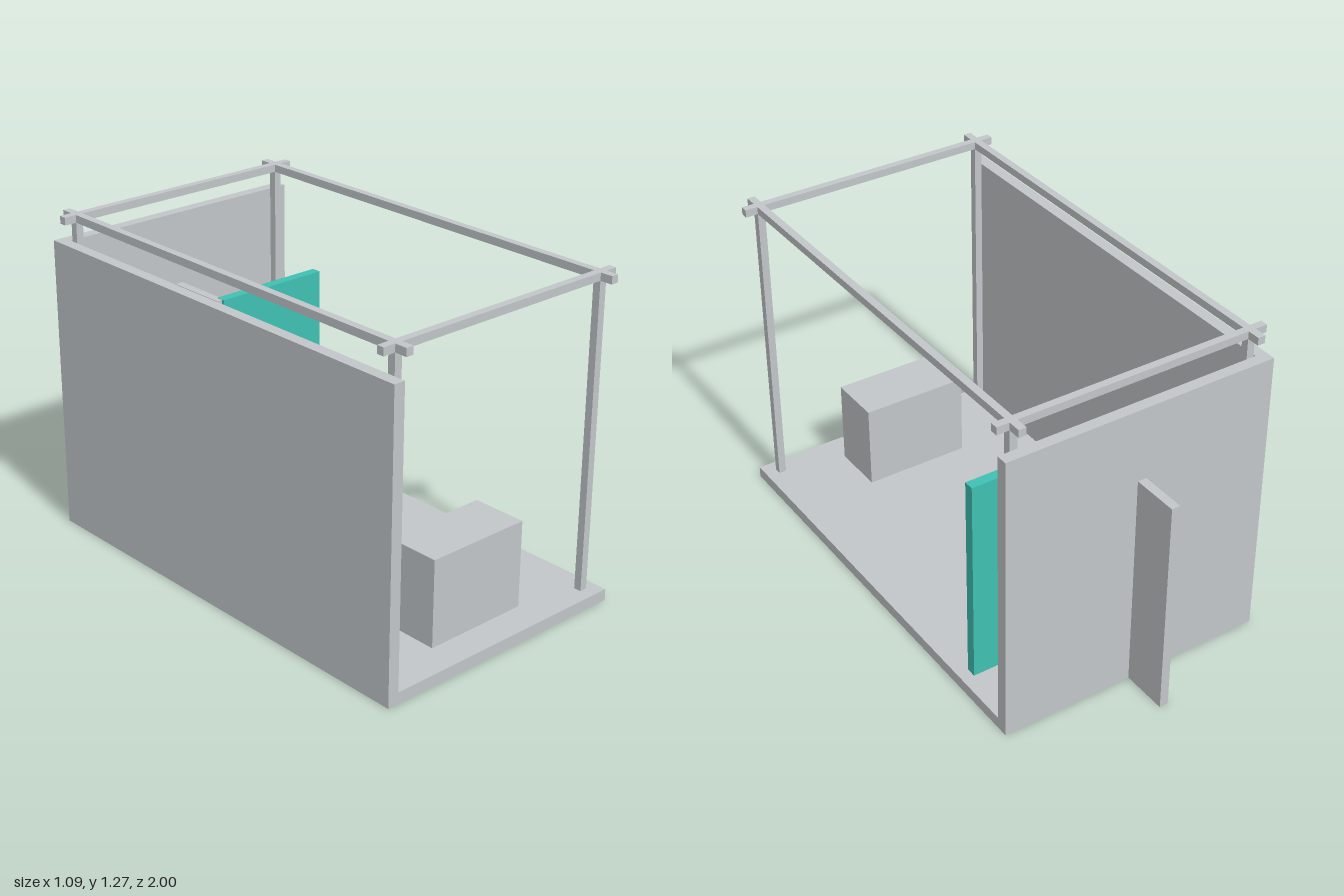
import * as THREE from 'three';

export function createModel() {
  const model = new THREE.Group();
  model.name = 'exhibitionBooth';

  const grey = new THREE.MeshStandardMaterial({ color: 0xc2c6c9 });
  grey.name = 'lightGrey';
  const teal = new THREE.MeshStandardMaterial({ color: 0x40c1b3 });
  teal.name = 'teal';

  // Box given by its extents on each axis
  function block(name, [x0, x1], [y0, y1], [z0, z1], material = grey, parent = model) {
    const mesh = new THREE.Mesh(new THREE.BoxGeometry(x1 - x0, y1 - y0, z1 - z0), material);
    mesh.position.set((x0 + x1) / 2, (y0 + y1) / 2, (z0 + z1) / 2);
    mesh.name = name;
    parent.add(mesh);
    return mesh;
  }

  const W = 0.545, BACK = -0.815, FRONT = 1, T = 0.045;
  const WALL_TOP = 1.163, FRAME_TOP = 1.27, BAR = 0.03;

  // Floor and the two walls
  block('floor', [-W, W], [0, T], [BACK, FRONT]);
  block('sideWall', [-W, -W + T], [T, WALL_TOP], [BACK, FRONT]);
  block('backWall', [-W + T, W], [T, WALL_TOP], [BACK, BACK + T]);

  // Overhead frame: four posts, beams crossing at the corners
  const frame = new THREE.Group();
  frame.name = 'frame';
  model.add(frame);
  const xs = [-0.481, 0.481], zs = [-0.75, 0.935];
  const bar = (c) => [c - BAR / 2, c + BAR / 2];
  const beamY = [FRAME_TOP - BAR, FRAME_TOP];
  for (const x of xs) {
    block('longBeam', bar(x), beamY, [BACK, FRONT], grey, frame);
    for (const z of zs) block('post', bar(x), [T, FRAME_TOP - BAR], bar(z), grey, frame);
  }
  for (const z of zs) block('crossBeam', [-W, W], beamY, bar(z), grey, frame);

  // Partition passing through the back wall, and the coloured panel beside it
  block('partition', [-0.02, 0.015], [0, 0.875], [-1, -0.513]);
  block('tealPanel', [0.005, 0.497], [0.002, 0.876], [-0.542, -0.502], teal);

  // Counter near the front
  block('counter', [-0.218, 0.216], [T, 0.387], [0.655, 0.875]);

  return model;
}
